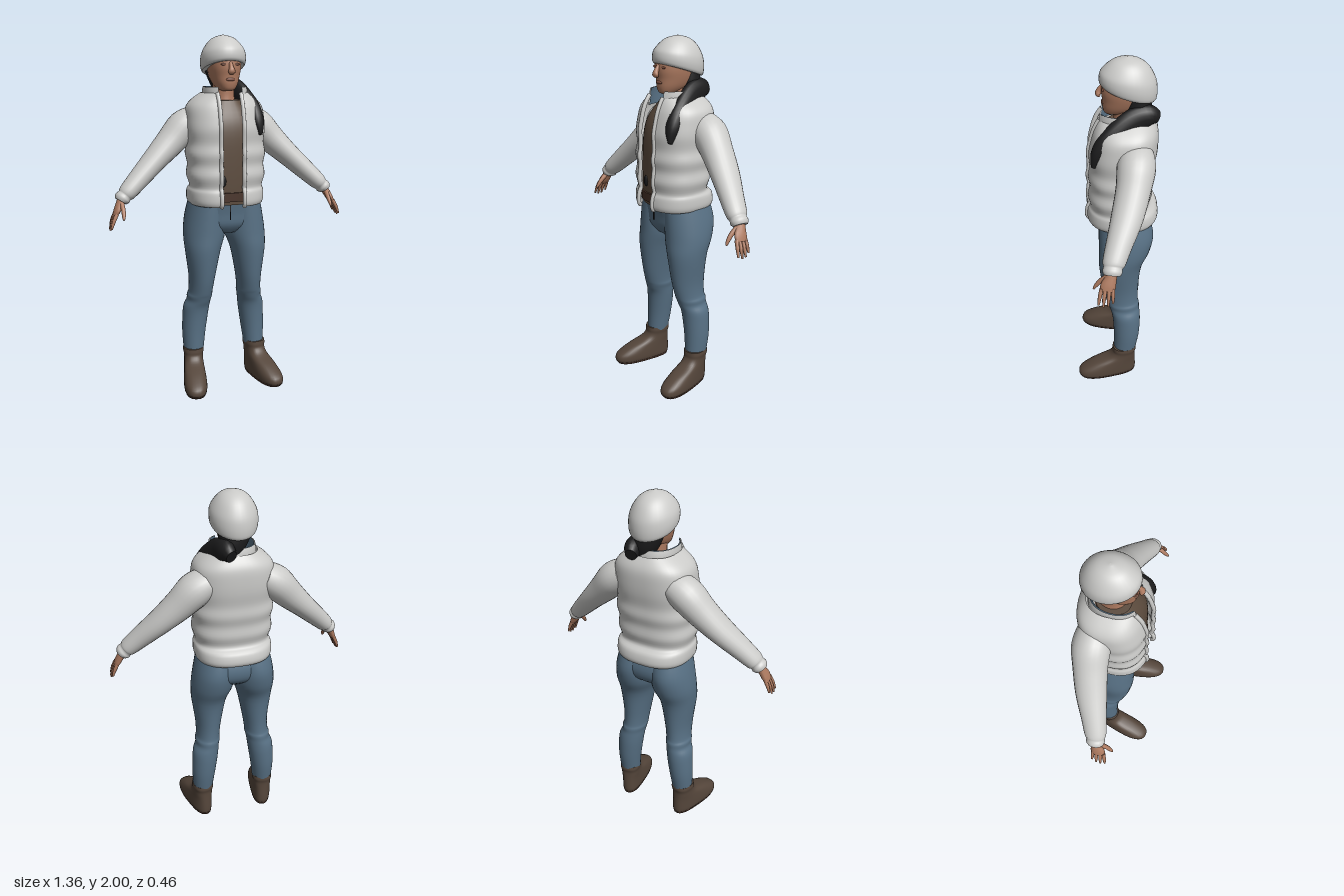
import * as THREE from 'three';

const mat = (name, color, side = THREE.FrontSide) => {
  const m = new THREE.MeshStandardMaterial({ color, side });
  m.name = name;
  return m;
};

// Catmull-Rom smoothing of rows of numbers
function smooth(rows, n = 4) {
  const out = [];
  for (let i = 0; i < rows.length - 1; i++) {
    const a = rows[Math.max(i - 1, 0)], b = rows[i], c = rows[i + 1], d = rows[Math.min(i + 2, rows.length - 1)];
    for (let k = 0; k < n; k++) {
      const t = k / n;
      out.push(b.map((_, j) => b[j] + 0.5 * t * (c[j] - a[j] + t * (2 * a[j] - 5 * b[j] + 4 * c[j] - d[j] + t * (3 * (b[j] - c[j]) + d[j] - a[j])))));
    }
  }
  out.push(rows[rows.length - 1]);
  return out;
}

// Surface through rings of points, closed rings may be capped
function skin(rings, closed = true, caps = true) {
  const n = rings[0].length, pos = [], idx = [];
  rings.forEach(r => r.forEach(p => pos.push(p.x, p.y, p.z)));
  for (let i = 0; i < rings.length - 1; i++) {
    for (let j = 0; j < (closed ? n : n - 1); j++) {
      const k = (j + 1) % n, a = i * n + j, b = i * n + k;
      idx.push(a, b, b + n, a, b + n, a + n);
    }
  }
  if (closed && caps) {
    [rings[0], rings[rings.length - 1]].forEach((r, e) => {
      const start = pos.length / 3;
      const c = r.reduce((s, p) => s.add(p), new THREE.Vector3()).divideScalar(n);
      [...r, c].forEach(p => pos.push(p.x, p.y, p.z));
      for (let j = 0; j < n; j++) {
        const a = start + j, b = start + (j + 1) % n;
        e ? idx.push(a, b, start + n) : idx.push(b, a, start + n);
      }
    });
  }
  const g = new THREE.BufferGeometry();
  g.setAttribute('position', new THREE.Float32BufferAttribute(pos, 3));
  g.setIndex(idx);
  g.computeVertexNormals();
  return g;
}

// Level cross-sections: rows of [y, centreX, halfWidth, frontZ, backZ]
// gap = [x on the right, x on the left] leaves the front open
function levelRings(rows, { sides = 32, p = 1, gap = null } = {}) {
  const pw = v => Math.sign(v) * Math.abs(v) ** p;
  return smooth(rows).map(([y, cx, rx, f, b]) => {
    const a0 = gap ? -Math.acos((gap[1] / rx) ** (1 / p)) : 0;
    const a1 = gap ? Math.PI + Math.acos((-gap[0] / rx) ** (1 / p)) : Math.PI * 2;
    return Array.from({ length: gap ? sides + 1 : sides }, (_, j) => {
      const a = a0 + (a1 - a0) * j / sides;
      return new THREE.Vector3(cx + rx * pw(Math.cos(a)), y, (f + b) / 2 - (f - b) / 2 * pw(Math.sin(a)));
    });
  });
}
const level = (rows, opt = {}) => skin(levelRings(rows, opt), !opt.gap);

// Limb along a path: points of [x, y, z, radius along ref, other radius]
function limb(points, ref, sides = 18) {
  const pts = smooth(points), at = i => new THREE.Vector3(...pts[i].slice(0, 3));
  return skin(pts.map(([, , , ru, rv], i) => {
    const t = at(Math.min(i + 1, pts.length - 1)).sub(at(Math.max(i - 1, 0))).normalize();
    const u = ref.clone().addScaledVector(t, -ref.dot(t)).normalize();
    const v = t.clone().cross(u);
    return Array.from({ length: sides }, (_, j) => {
      const a = j / sides * Math.PI * 2;
      return at(i).addScaledVector(u, ru * Math.cos(a)).addScaledVector(v, rv * Math.sin(a));
    });
  }));
}

export function createModel() {
  const model = new THREE.Group();
  const cloth = mat('pale grey cloth', 0xcbcbc9, THREE.DoubleSide);
  const denim = mat('blue denim', 0x587185, THREE.DoubleSide);
  const leather = mat('brown leather', 0x55463b);
  const knit = mat('brown shirt', 0x5d4c3e);
  const skinTone = mat('skin', 0xad7a60);
  const lipTone = mat('dark skin', 0x845443);
  const black = mat('black hair', 0x1d1d1e);
  const beltBrown = mat('belt brown', 0x49342a);
  const add = (name, geo, m, parent = model) => {
    const mesh = new THREE.Mesh(geo, m);
    mesh.name = name;
    parent.add(mesh);
    return mesh;
  };
  const ball = (name, m, x, y, z, rx, ry, rz) => {
    const b = add(name, new THREE.SphereGeometry(1, 16, 12), m);
    b.position.set(x, y, z);
    b.scale.set(rx, ry, rz);
  };
  const X = new THREE.Vector3(1, 0, 0), Z = new THREE.Vector3(0, 0, 1);

  // Head and neck
  add('head', level([
    [1.7, 0, 0.025, 0.05, -0.02], [1.71, 0, 0.045, 0.066, -0.06], [1.74, 0, 0.066, 0.074, -0.12],
    [1.78, 0, 0.08, 0.075, -0.15], [1.82, 0, 0.088, 0.08, -0.16], [1.86, 0, 0.09, 0.078, -0.165], [1.9, 0, 0.085, 0.07, -0.16],
  ], { p: 0.9 }), skinTone);
  add('neck', level([[1.6, 0, 0.075, 0.04, -0.14], [1.66, 0, 0.06, 0.02, -0.12], [1.76, 0, 0.06, 0.02, -0.12]]), skinTone);
  add('nose', limb([[0, 1.85, 0.07, 0.01, 0.012], [0, 1.825, 0.088, 0.013, 0.014], [0, 1.805, 0.095, 0.02, 0.015], [0, 1.796, 0.085, 0.014, 0.01]], X), skinTone);
  ball('lips', lipTone, 0, 1.762, 0.072, 0.026, 0.009, 0.008);
  for (const s of [-1, 1]) ball('eye', lipTone, s * 0.037, 1.842, 0.07, 0.018, 0.006, 0.006);

  // Knitted hat, lower at the back
  const hat = levelRings([
    [1.82, 0, 0.114, 0.082, -0.195], [1.835, 0, 0.122, 0.09, -0.203], [1.87, 0, 0.125, 0.09, -0.205], [1.91, 0, 0.117, 0.08, -0.196],
    [1.955, 0, 0.09, 0.048, -0.165], [1.985, 0, 0.055, 0.01, -0.12], [2, 0, 0.006, -0.045, -0.06],
  ]);
  hat.flat().forEach(q => { q.y += (q.z + 0.055) * 0.31 * (2 - q.y) / 0.18; });
  add('hat', skin(hat), cloth);

  // Hair at the nape and a tail brought over the left shoulder
  add('napeHair', level([[1.68, 0.025, 0.05, -0.06, -0.165], [1.74, 0.015, 0.075, -0.04, -0.178], [1.81, 0, 0.09, -0.04, -0.175]]), black);
  add('ponytail', limb([
    [0.05, 1.7, -0.205, 0.03, 0.035], [0.065, 1.715, -0.16, 0.045, 0.06], [0.088, 1.7, -0.09, 0.042, 0.066],
    [0.115, 1.66, -0.02, 0.04, 0.06], [0.138, 1.6, 0.05, 0.042, 0.052], [0.148, 1.53, 0.095, 0.038, 0.04], [0.16, 1.465, 0.12, 0.01, 0.012],
  ], X), black);

  // Shirt and belt
  add('shirt', level([
    [1.08, 0, 0.17, 0.12, -0.12], [1.25, 0, 0.17, 0.125, -0.12], [1.45, 0, 0.16, 0.122, -0.12],
    [1.56, 0, 0.14, 0.1, -0.12], [1.65, 0, 0.085, 0.05, -0.13],
  ], { p: 0.8 }), knit);
  add('belt', level([[1.1, 0, 0.175, 0.132, -0.13], [1.15, 0, 0.175, 0.132, -0.13]], { p: 0.8 }), beltBrown);
  ball('shirtPatch', black, -0.058, 1.215, 0.122, 0.018, 0.032, 0.008);

  // Open padded jacket: bulges between quilt seams
  const gap = [-0.075, 0.055];
  const jacket = levelRings([
    [1.1, 0, 0.19, 0.135, -0.195], [1.075, 0, 0.202, 0.155, -0.212], [1.1, 0, 0.214, 0.167, -0.229], [1.15, 0, 0.214, 0.162, -0.218],
    [1.18, 0, 0.204, 0.15, -0.182], [1.24, 0, 0.22, 0.16, -0.195], [1.3, 0, 0.213, 0.15, -0.192], [1.36, 0, 0.224, 0.157, -0.205],
    [1.42, 0, 0.215, 0.148, -0.203], [1.49, 0, 0.223, 0.152, -0.214], [1.55, 0, 0.221, 0.142, -0.218], [1.61, 0, 0.212, 0.127, -0.216],
    [1.65, 0, 0.182, 0.112, -0.203], [1.69, 0, 0.125, 0.095, -0.175],
  ], { sides: 40, p: 0.8, gap });
  add('jacketBody', skin(jacket, false), cloth);
  for (const end of [0, 40]) {
    const edge = jacket.slice(4).filter((_, i) => i % 3 === 0).map(r => r[end]);
    add('jacketFrontEdge', new THREE.TubeGeometry(new THREE.CatmullRomCurve3(edge), 50, 0.012, 8), cloth);
  }

  // Stand-up collar with a blue lining
  const collar = k => [[1.63, 0, 0.122 * k, 0.112 * k, -0.172 * k], [1.69, 0, 0.122 * k, 0.105 * k, -0.168 * k], [1.722, 0, 0.118 * k, 0.1 * k, -0.16 * k]];
  add('collar', level(collar(1), { gap: [-0.07, 0.062], p: 0.9 }), cloth);
  add('collarLining', level(collar(0.95), { gap: [-0.07, 0.062], p: 0.9 }), denim);

  // Hips and fly
  add('hips', level([[0.91, 0, 0.1, 0.06, -0.12], [0.96, 0, 0.2, 0.092, -0.18], [1.03, 0, 0.216, 0.1, -0.195], [1.12, 0, 0.195, 0.115, -0.17]], { p: 0.85 }), denim);
  const fly = add('flySeam', new THREE.BoxGeometry(0.006, 0.1, 0.006), black);
  fly.position.set(-0.01, 1.045, 0.106);

  for (const s of [-1, 1]) {
    const side = s > 0 ? 'left' : 'right';
    // Sleeve with gathered cuff
    add(side + 'Sleeve', limb([
      [0.15, 1.54, -0.1, 0.09, 0.08], [0.22, 1.5, -0.1, 0.1, 0.092], [0.3, 1.42, -0.085, 0.09, 0.081], [0.4, 1.325, -0.055, 0.082, 0.066],
      [0.5, 1.23, -0.015, 0.067, 0.056], [0.565, 1.168, 0.01, 0.058, 0.048], [0.583, 1.15, 0.015, 0.048, 0.04],
      [0.597, 1.136, 0.018, 0.05, 0.043], [0.607, 1.122, 0.02, 0.042, 0.034],
    ].map(([x, ...r]) => [x * s, ...r]), Z, 24), cloth);

    // Hand: palm, four fingers, thumb
    const hand = new THREE.Group();
    hand.name = side + 'Hand';
    model.add(hand);
    const part = (name, pts) => add(name, limb(pts.map(([x, ...r]) => [x * s, ...r]), Z, 10), skinTone, hand);
    part('palm', [[0.59, 1.15, 0.015, 0.028, 0.024], [0.612, 1.11, 0.025, 0.03, 0.021], [0.63, 1.075, 0.038, 0.039, 0.018], [0.644, 1.05, 0.042, 0.034, 0.012]]);
    for (let i = 0; i < 4; i++) {
      const z = 0.014 + 0.019 * i, long = [0.8, 0.97, 1, 0.9][i];
      part('finger', [[0.637, 1.062, z, 0.01, 0.011], [0.637 + 0.022 * long, 1.062 - 0.045 * long, z + 0.003 * i, 0.0095, 0.0095],
        [0.637 + 0.037 * long, 1.062 - 0.088 * long, z + 0.005 * i, 0.005, 0.005]]);
    }
    part('thumb', [[0.605, 1.115, 0.04, 0.014, 0.014], [0.603, 1.085, 0.075, 0.013, 0.012], [0.605, 1.055, 0.1, 0.01, 0.01], [0.608, 1.035, 0.112, 0.005, 0.005]]);

    // Trouser leg with folds at the knee
    add(side + 'TrouserLeg', level([
      [0.19, 0.188, 0.058, 0.015, -0.115], [0.3, 0.183, 0.068, 0.015, -0.134], [0.4, 0.174, 0.074, 0.02, -0.14], [0.46, 0.167, 0.075, 0.028, -0.138],
      [0.5, 0.156, 0.069, 0.042, -0.133], [0.53, 0.152, 0.072, 0.052, -0.132], [0.56, 0.148, 0.068, 0.062, -0.125], [0.65, 0.142, 0.075, 0.082, -0.126],
      [0.8, 0.136, 0.1, 0.1, -0.142], [0.9, 0.121, 0.119, 0.1, -0.185], [1, 0.112, 0.115, 0.1, -0.205], [1.1, 0.1, 0.105, 0.1, -0.185],
    ].map(([y, x, ...r]) => [y, x * s, ...r])), denim);

    // Ankle boot, toes turned out
    const boot = new THREE.Group();
    boot.name = side + 'Boot';
    boot.position.set(s * 0.19, 0, -0.05);
    boot.rotation.y = s * 0.2;
    model.add(boot);
    const upper = levelRings([
      [0.012, 0, 0.062, 0.282, -0.062], [0.03, 0, 0.066, 0.288, -0.066], [0.06, 0, 0.066, 0.272, -0.066], [0.1, 0, 0.063, 0.2, -0.064],
      [0.135, 0, 0.06, 0.11, -0.062], [0.165, 0, 0.06, 0.078, -0.062], [0.19, 0, 0.065, 0.074, -0.068], [0.21, 0, 0.063, 0.072, -0.066],
    ], { p: 0.82 });
    const sole = levelRings([[0, 0, 0.06, 0.275, -0.06], [0.014, 0, 0.064, 0.285, -0.064]], { p: 0.82 });
    // Broader at the ball of the foot than at the heel
    [...upper, ...sole].flat().forEach(q => { q.x *= 0.93 + 0.9 * Math.max(0, q.z - 0.06); });
    add('bootUpper', skin(upper), leather, boot);
    add('bootSole', skin(sole), beltBrown, boot);
  }
  return model;
}
